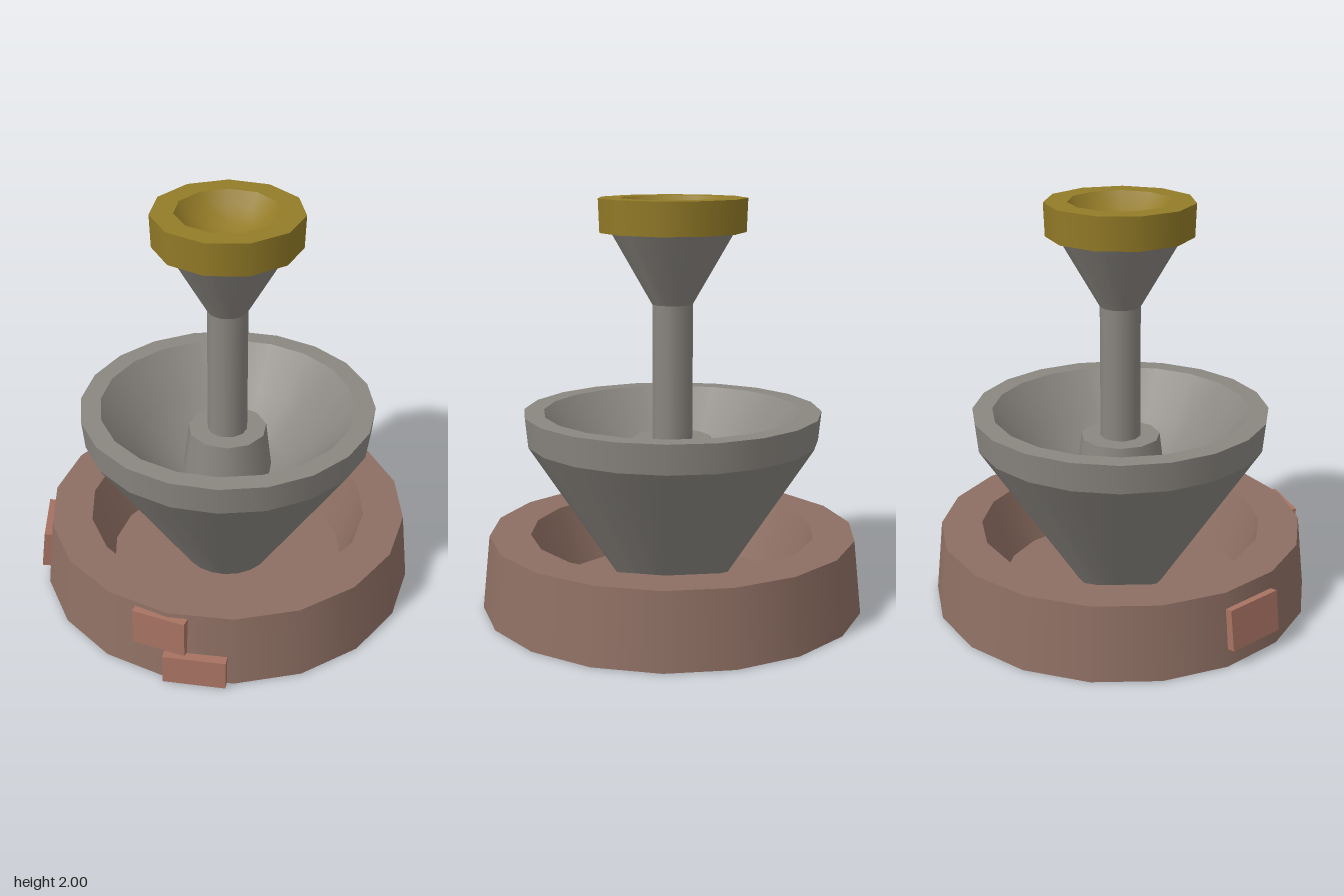
import * as THREE from 'three';
import { mergeGeometries } from 'three/addons/utils/BufferGeometryUtils.js';

const grey = new THREE.MeshStandardMaterial({ color: 0x8a8680 });
const stone = new THREE.MeshStandardMaterial({ color: 0x8e6f63 });
const brickMat = new THREE.MeshStandardMaterial({ color: 0xa87363 });
const gold = new THREE.MeshStandardMaterial({ color: 0x937b27, side: THREE.DoubleSide });

// Turned part: each run is smooth, with a sharp edge between runs.
// Profiles go from the underside, up the outside and back down the inside.
function turned(name, material, sides, phaseDeg, runs) {
  const phase = THREE.MathUtils.degToRad(phaseDeg);
  const parts = runs.map(run => new THREE.LatheGeometry(
    run.map(([r, y]) => new THREE.Vector2(r, y)), sides, phase));
  const mesh = new THREE.Mesh(mergeGeometries(parts), material);
  mesh.name = name;
  return mesh;
}

// Splits a profile into straight runs, so every corner is sharp
const sharp = pts => pts.slice(1).map((p, i) => [pts[i], p]);

function brick(name, size, position, [pitch, yaw, roll]) {
  const mesh = new THREE.Mesh(new THREE.BoxGeometry(...size), brickMat);
  mesh.name = name;
  mesh.position.set(...position);
  mesh.rotation.set(pitch, yaw, roll, 'YXZ');
  return mesh;
}

export function createModel() {
  const model = new THREE.Group();
  model.name = 'fountain';

  const body = new THREE.Group();
  body.name = 'fountainBody';
  body.position.set(0.012, 0, -0.023);
  model.add(body);

  // Wide basin with a sunken floor
  body.add(turned('basin', stone, 18, 10, sharp([
    [0, 0.003], [0.94, 0.003], [0.902, 0.367], [0.7, 0.367], [0.595, 0.07], [0, 0.07],
  ])));

  // Conical bowl with a lip and a hollow inside
  body.add(turned('bowl', grey, 20, 4.5, [
    ...sharp([[0.22, 0.07], [0.713, 0.83], [0.727, 0.973], [0.629, 0.973]]),
    [[0.629, 0.973], [0.46, 0.78], [0.3, 0.63], [0.15, 0.56], [0, 0.55]],
  ]));

  // Pedestal, column and flared neck
  body.add(turned('pedestal', grey, 11, 7.5,
    sharp([[0.23, 0.55], [0.195, 0.835], [0, 0.835]])));
  body.add(turned('column', grey, 11, 187.5, sharp([[0.099, 0.8], [0.099, 1.495]])));
  body.add(turned('flaredNeck', grey, 11, 187.5, sharp([[0.099, 1.495], [0.343, 1.92]])));

  // Top cup, open underneath around the neck, with a shallow dish on top
  body.add(turned('topCup', gold, 11, 187.5, [
    ...sharp([[0.353, 1.84], [0.359, 2], [0.248, 2]]),
    [[0.248, 2], [0.2, 1.94], [0.12, 1.885], [0.04, 1.865], [0, 1.864]],
  ]));

  // Loose bricks set against the basin wall
  model.add(brick('upperFrontBrick', [0.265, 0.19, 0.045], [-0.18, 0.25, 0.858], [0, -0.25, 0]));
  model.add(brick('lowerFrontBrick', [0.3, 0.147, 0.15], [-0.008, 0.0775, 0.864], [-0.05, -0.02, 0]));
  model.add(brick('sideBrick', [0.045, 0.2, 0.3], [-0.898, 0.19, 0.13], [0, 0.16, -0.12]));

  return model;
}
